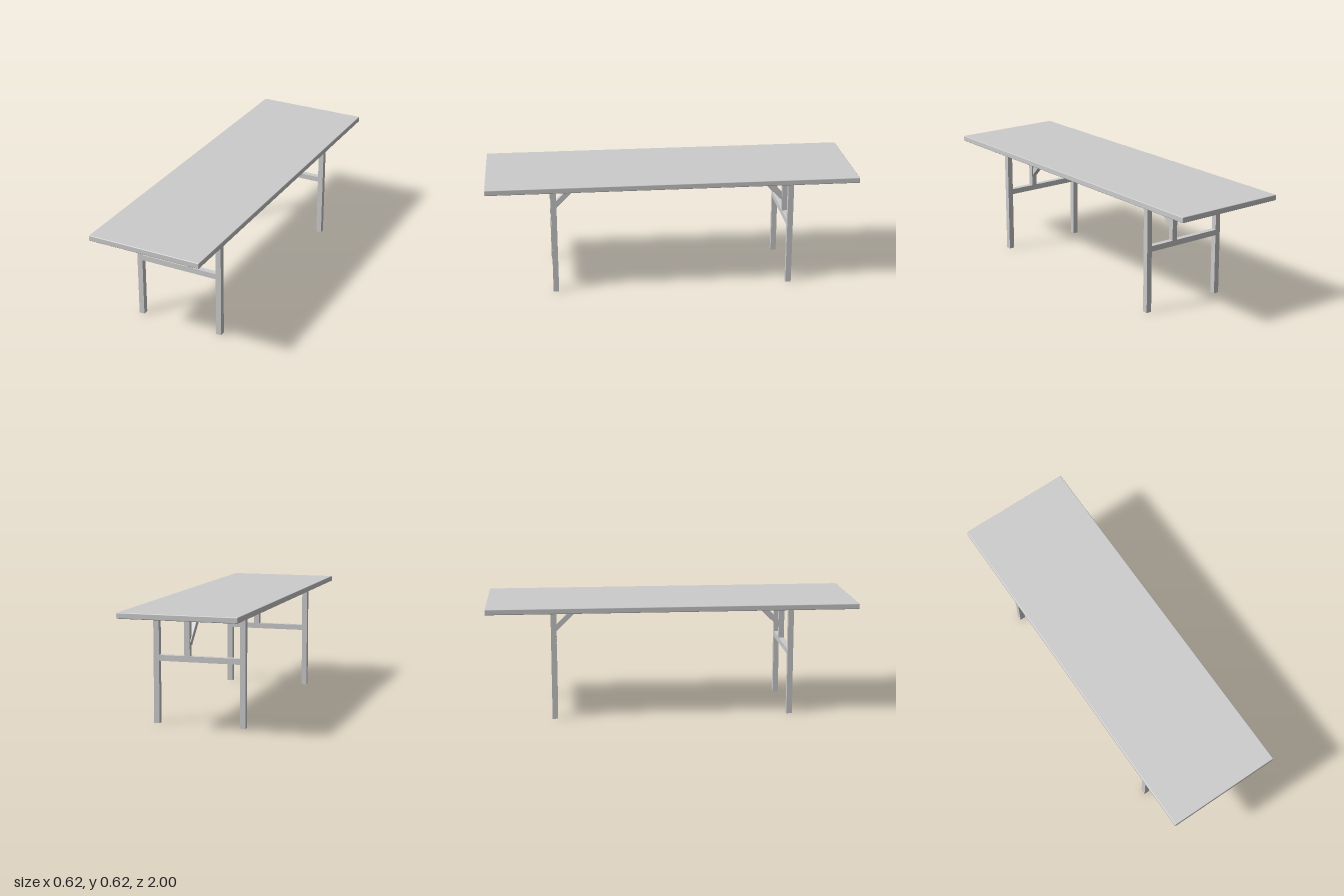
import * as THREE from 'three';
import { RoundedBoxGeometry } from 'three/addons/geometries/RoundedBoxGeometry.js';

const material = new THREE.MeshStandardMaterial({ color: 0xcccccc });
const BAR = 0.03;        // square section of the timber
const UNDERSIDE = 0.59;  // lower face of the tabletop
const LEG_X = 0.233;
const POST_X = 0.065;
const FRAME_Z = 0.64;

function addPart(parent, name, geometry, x, y, z) {
  const mesh = new THREE.Mesh(geometry, material);
  mesh.name = name;
  mesh.position.set(x, y, z);
  parent.add(mesh);
  return mesh;
}

// One trestle: two legs, a cross rail, an off-centre post and a diagonal brace
function createTrestle(side) {
  const trestle = new THREE.Group();
  trestle.name = side > 0 ? 'frontTrestle' : 'backTrestle';
  const z = side * FRAME_Z;

  for (const s of [-1, 1]) {
    addPart(trestle, s > 0 ? 'leftLeg' : 'rightLeg',
      new THREE.BoxGeometry(BAR, UNDERSIDE, BAR), s * LEG_X, UNDERSIDE / 2, z);
  }

  const railY = 0.345;
  addPart(trestle, 'crossRail', new THREE.BoxGeometry(2 * LEG_X - BAR, BAR, BAR), 0, railY, z);

  const postBottom = railY + BAR / 2;
  addPart(trestle, 'post', new THREE.BoxGeometry(BAR, UNDERSIDE - postBottom, BAR),
    POST_X, (UNDERSIDE + postBottom) / 2, z);

  // Brace rises at 45 degrees from the post towards the middle of the table
  const brace = addPart(trestle, 'diagonalBrace',
    new RoundedBoxGeometry(BAR, 0.25, BAR, 3, 0.002), 0.06, 0.514, side * 0.552);
  brace.rotation.x = -side * Math.PI / 4;
  return trestle;
}

export function createModel() {
  const table = new THREE.Group();
  table.name = 'table';

  // Tabletop with softened edges
  addPart(table, 'tabletop', new RoundedBoxGeometry(0.624, 0.03, 2, 4, 0.004), 0, 0.605, 0);

  for (const side of [1, -1]) table.add(createTrestle(side));
  return table;
}
